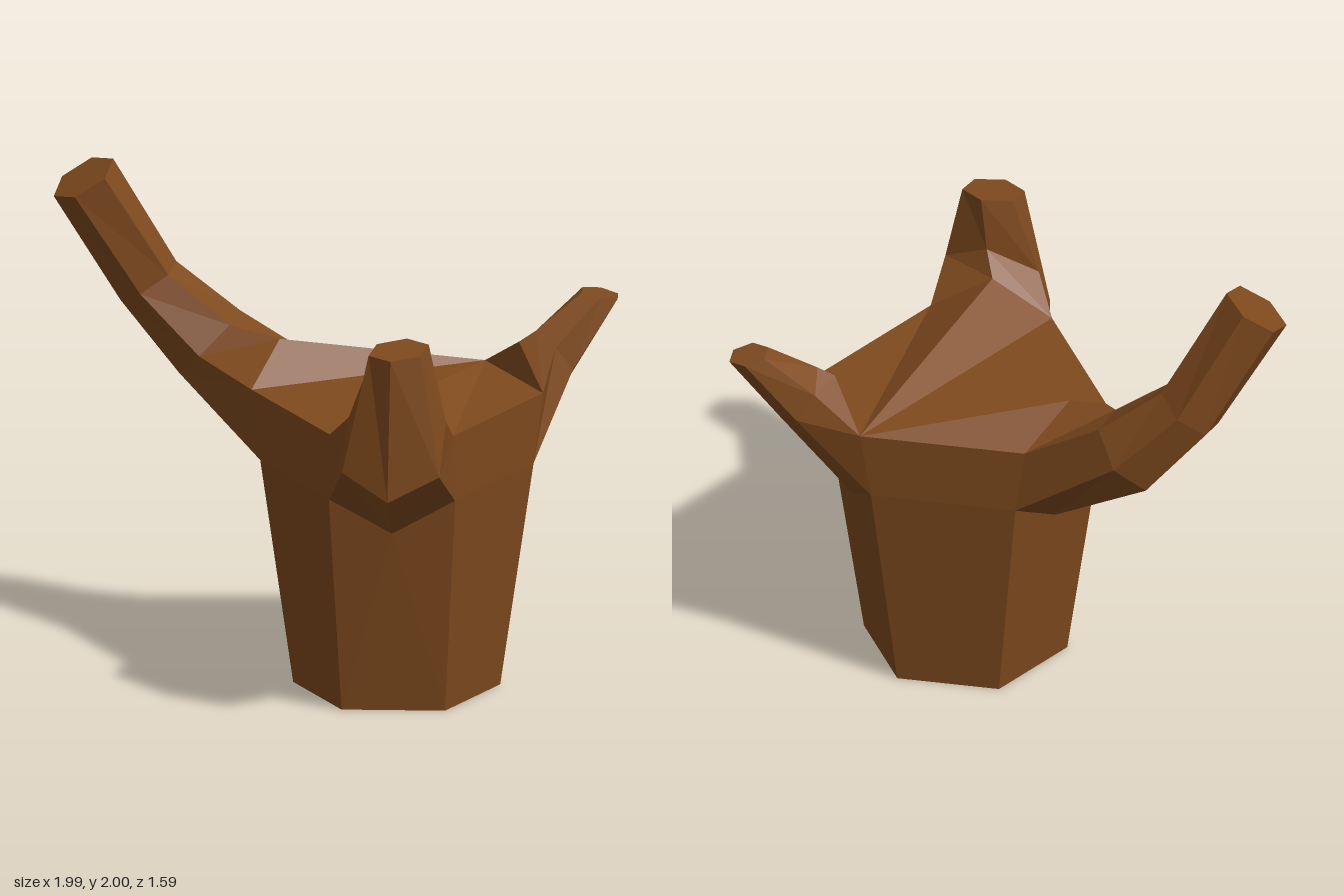
import * as THREE from 'three';

const bark = new THREE.MeshStandardMaterial({ color: 0x7f4a1e, flatShading: true });
const wood = new THREE.MeshStandardMaterial({ color: 0xa88a5c, flatShading: true });
const grain = new THREE.MeshStandardMaterial({ color: 0x704f3c, flatShading: true, side: THREE.DoubleSide });

// Flat-shaded mesh from polygons, each a counter-clockwise loop fanned from its first corner
function polyMesh(name, polygons, material) {
  const pos = [];
  for (const p of polygons)
    for (let i = 1; i < p.length - 1; i++) pos.push(...p[0], ...p[i], ...p[i + 1]);
  const geo = new THREE.BufferGeometry();
  geo.setAttribute('position', new THREE.Float32BufferAttribute(pos, 3));
  geo.computeVertexNormals();
  const mesh = new THREE.Mesh(geo, material);
  mesh.name = name;
  return mesh;
}

// Point around the trunk's axis, by angle from the front, radius and height
function around(degrees, radius, y) {
  const a = THREE.MathUtils.degToRad(degrees);
  return [0.41 + radius * Math.sin(a), y, 0.035 + radius * Math.cos(a)];
}
const footCorner = (i, scale = 1, y = 0) => around(60 * i - 120, 0.405 * scale, y);

// Hexagonal section where a root leaves the trunk. Corner order, seen from outside:
// top, upper right, lower right, bottom, lower left, upper left
const socket = (angle) => [
  around(angle, 0.54, 1.32), around(angle + 25, 0.572, 1.18), around(angle + 27.5, 0.535, 0.9),
  around(angle, 0.467, 0.76), around(angle - 27.5, 0.535, 0.9), around(angle - 25, 0.572, 1.18),
];

// Hexagonal section further out: centre, vector to the top corner, vector to the right side
function section(center, up, side) {
  const corners = [[1, 0], [0.5, 1], [-0.5, 1], [-1, 0], [-0.5, -1], [0.5, -1]];
  return corners.map(([u, s]) => center.map((c, k) => c + u * up[k] + s * side[k]));
}

const roots = [
  { name: 'longRoot', rings: [
    socket(-90),
    section([-0.47, 1.245, 0.01], [0.13, 0.105, 0.06], [-0.01, -0.06, 0.135]),
    section([-0.69, 1.485, 0.11], [0.12, 0.055, 0.045], [-0.02, -0.045, 0.1]),
    section([-0.87, 1.928, 0.3], [0.13, 0.03, 0.05], [-0.025, -0.057, 0.1]),
  ] },
  { name: 'frontRoot', rings: [
    socket(30),
    section([0.795, 1.2, 0.665], [-0.035, 0.195, -0.105], [0.177, 0, -0.075]),
    section([0.813, 1.6, 0.66], [-0.028, 0.015, -0.105], [0.096, 0.005, -0.038]),
  ] },
  { name: 'backRoot', rings: [
    socket(150),
    section([0.768, 1.26, -0.545], [-0.04, 0.1, 0.065], [-0.09, -0.008, -0.062]),
    section([0.873, 1.475, -0.722], [-0.038, 0.015, 0.072], [-0.061, 0.004, -0.035]),
  ] },
];

function rootMesh({ name, rings }) {
  const faces = [];
  for (let r = 0; r < rings.length - 1; r++) {
    const a = rings[r], b = rings[r + 1];
    for (let j = 0; j < 6; j++) {
      const k = (j + 1) % 6;
      faces.push([a[j], b[j], b[k], a[k]]);
    }
  }
  faces.push([...rings[rings.length - 1]].reverse()); // cut tip
  return polyMesh(name, faces, bark);
}

function trunkMesh() {
  const faces = [];
  const sockets = roots.map((root) => root.rings[0]);
  sockets.forEach((r, i) => {
    const q = sockets[(i + 1) % 3];
    const left = footCorner(2 * i), right = footCorner(2 * i + 1), next = footCorner(2 * i + 2);
    faces.push([r[3], r[4], left, right, r[2]]); // side below the root
    faces.push([right, next, q[4], r[2]]);       // side between two roots
    faces.push([r[2], q[4], q[5], r[1]]);        // collar between two roots
  });
  // Top, hollowed between the three raised root ridges
  const [a, b, c] = sockets;
  faces.push([c[1], a[5], a[0], a[1], b[5], b[0], b[1], c[5], c[0]]);
  // Bark rim around the cut foot
  for (let i = 0; i < 6; i++)
    faces.push([footCorner(i + 1), footCorner(i), footCorner(i, 0.88), footCorner(i + 1, 0.88)]);
  return polyMesh('trunk', faces, bark);
}

// Cut wood under the foot with a hexagonal spiral of grain
function cutWood() {
  const group = new THREE.Group();
  group.name = 'cutFoot';
  const disc = [5, 4, 3, 2, 1, 0].map((i) => footCorner(i, 0.89, 0.004));
  const spiral = [];
  for (let i = 0; i < 12; i++) {
    const s = 0.78 - 0.051 * i, t = s - 0.051;
    spiral.push([footCorner(i, s, 0.001), footCorner(i, s - 0.16, 0.001),
      footCorner(i + 1, t - 0.16, 0.001), footCorner(i + 1, t, 0.001)]);
  }
  group.add(polyMesh('woodFace', [disc], wood), polyMesh('grainSpiral', spiral, grain));
  return group;
}

export function createModel() {
  const model = new THREE.Group();
  model.name = 'upturnedStump';
  model.add(trunkMesh(), cutWood(), ...roots.map(rootMesh));
  return model;
}
